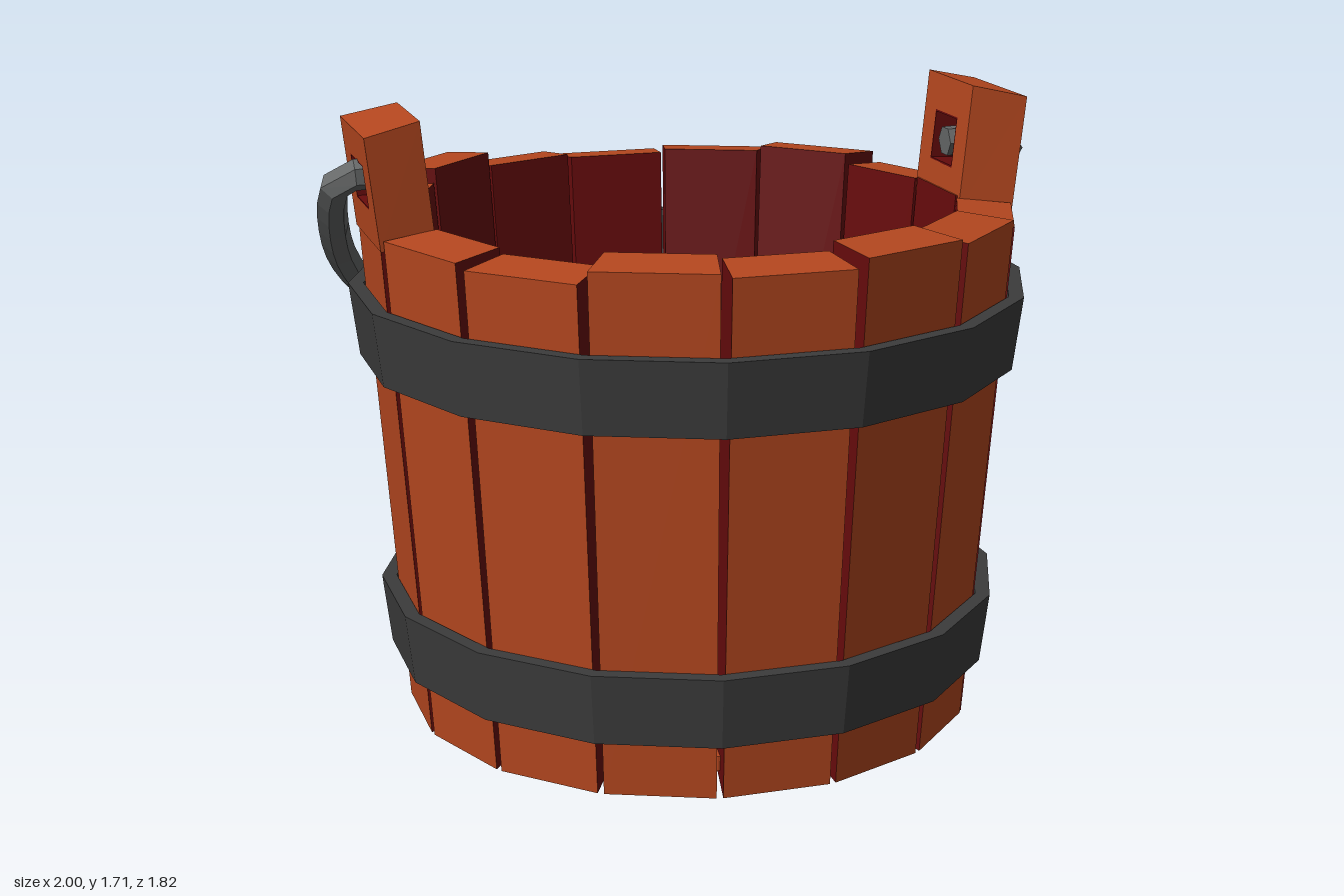
import * as THREE from 'three';

const N = 16, STEP = (Math.PI * 2) / N, SLOPE = Math.tan(STEP / 2);

const mat = (name, color) => {
  const m = new THREE.MeshStandardMaterial({ color });
  m.name = name;
  return m;
};

// Split shared vertices so every face is flat
function faceted(geometry) {
  const g = geometry.index ? geometry.toNonIndexed() : geometry;
  g.computeVertexNormals();
  return g;
}

// One tapered stave, facing +z; group 0 = wood faces, group 1 = inner and side faces
function staveGeometry(height) {
  const profile = [
    [0.78, 0], [0.78 + 0.072 * height, height], [0.73, height + 0.015], [0.625, 0.06], [0.73, 0.06],
  ];
  const corner = ([r, y], side) => {
    const gap = THREE.MathUtils.mapLinear(r, 0.63, 0.88, 0.001, 0.014);
    return [side * (r * SLOPE - gap), y, r];
  };
  const wood = [], dark = [];
  profile.forEach((p, i) => {
    const q = profile[(i + 1) % profile.length];
    const a = corner(p, -1), b = corner(p, 1), c = corner(q, 1), d = corner(q, -1);
    (i === 2 ? dark : wood).push(...a, ...b, ...c, ...a, ...c, ...d);
  });
  for (let i = 1; i < profile.length - 1; i++) {
    const tri = [profile[0], profile[i], profile[i + 1]];
    tri.forEach((p) => dark.push(...corner(p, -1)));
    tri.reverse().forEach((p) => dark.push(...corner(p, 1)));
  }
  const g = new THREE.BufferGeometry();
  g.setAttribute('position', new THREE.Float32BufferAttribute([...wood, ...dark], 3));
  g.addGroup(0, wood.length / 3, 0);
  g.addGroup(wood.length / 3, dark.length / 3, 1);
  g.computeVertexNormals();
  return g;
}

const rect = (Type, w, y0, y1) => new Type([
  new THREE.Vector2(-w, y0), new THREE.Vector2(w, y0), new THREE.Vector2(w, y1), new THREE.Vector2(-w, y1),
]);

// Pierced block, leaning outward and narrower on the inside
function earGeometry(outer, hole, height) {
  const shape = rect(THREE.Shape, ...outer);
  shape.holes.push(rect(THREE.Path, ...hole));
  const g = new THREE.ExtrudeGeometry(shape, { depth: 0.15, bevelEnabled: false });
  const p = g.attributes.position;
  for (let i = 0; i < p.count; i++) {
    const x = p.getX(i), y = p.getY(i), d = p.getZ(i);
    const t = (y - 1.36) / 0.34;
    p.setXYZ(i, x * (0.86 + 0.14 * (d / 0.15)), y + (height - 1.7 - 0.22 * d) * t, 0.735 + d + 0.1 * (y - 1.4));
  }
  return faceted(g);
}

// Band around the staves
function hoopGeometry(y0, r0, y1, r1) {
  const k = 1 / Math.cos(STEP / 2), t = 0.04;
  const points = [[r0, y0], [r1, y1], [r1 - t, y1], [r0 - t, y0], [r0, y0]]
    .map(([r, y]) => new THREE.Vector2(r * k, y));
  return faceted(new THREE.LatheGeometry(points, N, STEP / 2));
}

export function createModel() {
  const wood = mat('wood', 0xb5471f);
  const darkWood = mat('dark red wood', 0x660b0c);
  const iron = mat('dark iron', 0x3c3c3c);
  const steel = mat('handle grey', 0x646666);
  const model = new THREE.Group();
  model.name = 'bucket';
  const add = (name, geometry, material, parent = model) => {
    const mesh = new THREE.Mesh(geometry, material);
    mesh.name = name;
    parent.add(mesh);
    return mesh;
  };

  // Staves of uneven height, starting at the front and going towards +x
  const heights = [1.4, 1.425, 1.41, 1.385, 1.39, 1.385, 1.415, 1.4, 1.39, 1.4, 1.44, 1.4, 1.38, 1.39, 1.375, 1.41];
  const staves = new THREE.Group();
  staves.name = 'staves';
  model.add(staves);
  heights.forEach((h, i) => {
    add('stave', staveGeometry(h), [wood, darkWood], staves).rotation.y = i * STEP;
  });

  // Floor
  const floor = new THREE.CylinderGeometry(0.745, 0.745, 0.04, N);
  floor.rotateY(STEP / 2);
  add('floor', faceted(floor), wood).position.y = 0.075;

  // Hoops
  add('lowerHoop', hoopGeometry(0.16, 0.825, 0.355, 0.848), iron);
  add('upperHoop', hoopGeometry(1.0, 0.885, 1.2, 0.91), iron);

  // Ears with a dark lining in the handle hole
  for (const [side, height] of [[1, 1.71], [-1, 1.69]]) {
    const ear = new THREE.Group();
    ear.name = side > 0 ? 'leftEar' : 'rightEar';
    ear.rotation.y = (side * Math.PI) / 2;
    model.add(ear);
    add('earBlock', earGeometry([0.18, 1.36, 1.7], [0.088, 1.468, 1.602], height), wood, ear);
    add('earHoleLining', earGeometry([0.089, 1.467, 1.603], [0.084, 1.472, 1.598], height), darkWood, ear);
  }

  // Handle: half path as x and distance down the sloping plane, then mirrored
  const half = [[0.76, 0], [0.88, 0], [0.945, 0.015], [0.96, 0.08], [0.945, 0.25], [0.9, 0.45],
    [0.82, 0.63], [0.67, 0.84], [0.46, 1.0], [0.23, 1.1]];
  const at = ([x, s]) => new THREE.Vector3(x, 1.535 - 0.645 * s, 0.015 - 0.765 * s);
  const path = [...half, [0, 1.15], ...half.map(([x, s]) => [-x, s]).reverse()].map(at);
  const curve = new THREE.CatmullRomCurve3(path);
  add('handle', faceted(new THREE.TubeGeometry(curve, 48, 0.042, 6)), steel);
  for (const side of [1, -1]) {
    const end = new THREE.CylinderGeometry(0.043, 0.043, 0.06, 6);
    end.rotateZ(Math.PI / 2);
    add('handleEnd', faceted(end), steel).position.set(side * 0.775, 1.535, 0.015);
  }
  return model;
}
